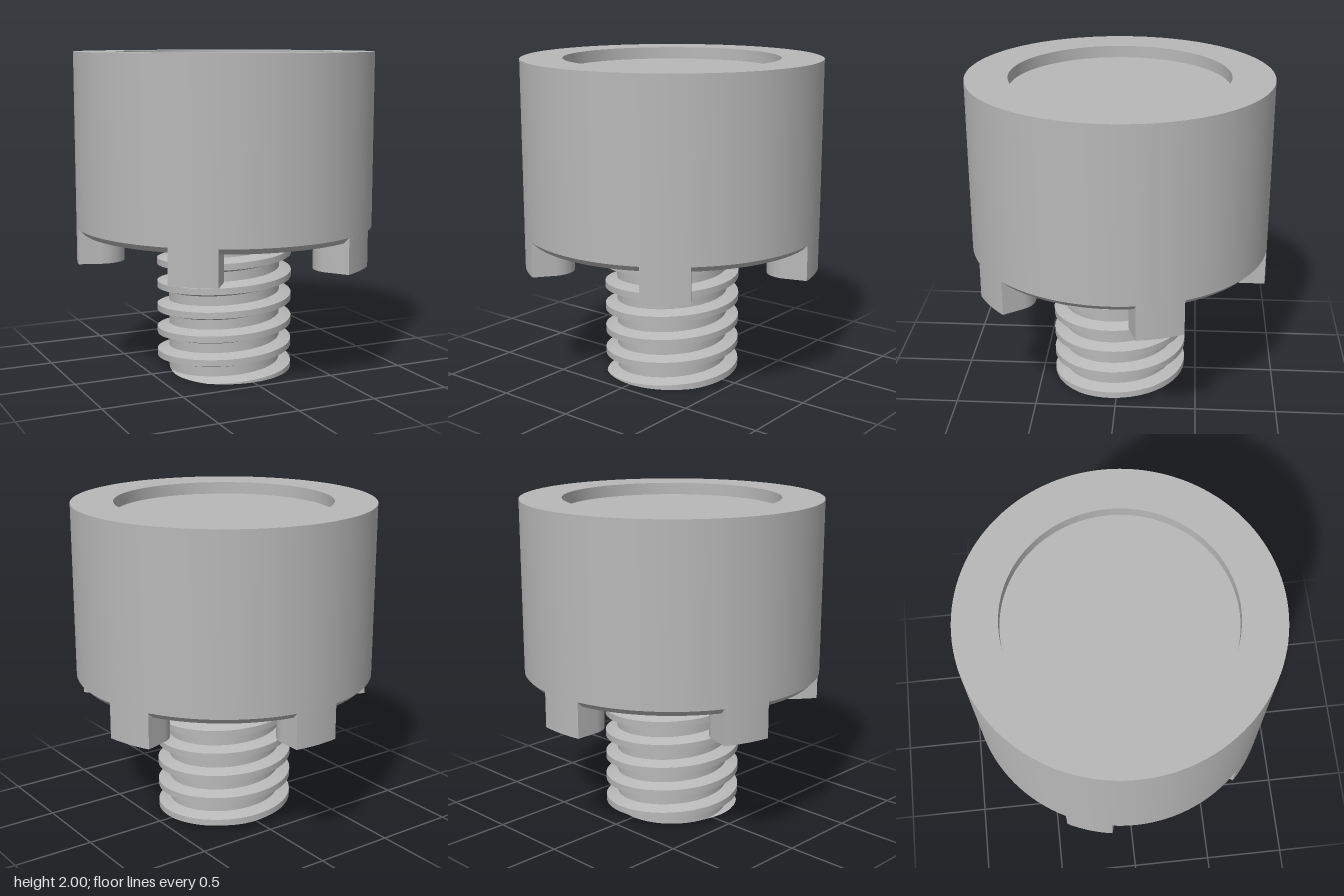
import * as THREE from 'three';
import { toCreasedNormals } from 'three/addons/utils/BufferGeometryUtils.js';

const HEAD_R = 0.925, ROOT_R = 0.35, CREST_R = 0.425;
const PITCH = 0.148, CREST_H = 0.02, ROOT_H = 0.044; // half heights of the thread ridge

// Ridge radius at a height d away from the ridge centre
function ridgeRadius(d) {
  const t = THREE.MathUtils.clamp((ROOT_H - Math.abs(d)) / (ROOT_H - CREST_H), 0, 1);
  return ROOT_R + (CREST_R - ROOT_R) * t;
}

// Helical ridge, cut off flat at y = 0
function threadGeometry() {
  const perTurn = 64, start = -1, turns = 7.4;
  const profile = [
    [ROOT_R, -ROOT_H, true], [ROOT_R, -ROOT_H], [CREST_R, -CREST_H],
    [CREST_R, CREST_H], [ROOT_R, ROOT_H],
  ];
  const n = profile.length, steps = Math.round(turns * perTurn);
  const pos = [], index = [];
  for (let i = 0; i <= steps; i++) {
    const turn = start + i / perTurn, a = turn * Math.PI * 2;
    const yc = -0.004 + turn * PITCH;
    for (const [r0, dy, inner] of profile) {
      const cut = yc + dy < 0;
      const r = cut && !inner ? ridgeRadius(-yc) : r0;
      pos.push(r * Math.sin(a), cut ? 0 : yc + dy, r * Math.cos(a));
    }
    if (i === steps) break;
    for (let j = 0; j < n - 1; j++) {
      const p = i * n + j, q = p + n;
      index.push(p, q, q + 1, p, q + 1, p + 1);
    }
  }
  const geo = new THREE.BufferGeometry();
  geo.setAttribute('position', new THREE.Float32BufferAttribute(pos, 3));
  geo.setIndex(index);
  return toCreasedNormals(geo, 0.4);
}

// Lug: outer arc flush with the head, parallel sides, rounded inner end
function lugGeometry() {
  const w = 0.145, half = Math.asin(w / HEAD_R), top = 0.93, bottom = 0.71;
  const shape = new THREE.Shape();
  shape.absarc(0, 0, HEAD_R, Math.PI / 2 + half, Math.PI / 2 - half, true);
  shape.lineTo(w, 0.775);
  shape.absarc(0, 0.775, w, 0, Math.PI, true);
  const geo = new THREE.ExtrudeGeometry(shape, { depth: top - bottom, bevelEnabled: false, curveSegments: 20 });
  geo.rotateX(Math.PI / 2).translate(0, top, 0);
  return toCreasedNormals(geo, 0.5);
}

export function createModel() {
  const metal = new THREE.MeshStandardMaterial({ color: 0xb8b8b8 });
  metal.name = 'grey metal';
  const model = new THREE.Group();
  model.name = 'screwKnob';
  const add = (name, geo) => {
    const mesh = new THREE.Mesh(geo, metal);
    mesh.name = name;
    model.add(mesh);
    return mesh;
  };

  // Head with a chamfered lower edge and a shallow round recess on top
  const outline = [
    [0, 0.895], [0.89, 0.895], [HEAD_R, 0.93], [HEAD_R, 2],
    [0.667, 2], [0.667, 1.925], [0, 1.925],
  ].map(([r, y]) => new THREE.Vector2(r, y));
  add('head', toCreasedNormals(new THREE.LatheGeometry(outline, 120), 0.5));

  // Five lugs spaced evenly under the rim
  const lug = lugGeometry();
  for (let i = 0; i < 5; i++) {
    add('lug' + (i + 1), lug).rotation.y = Math.PI / 5 + (i * Math.PI * 2) / 5;
  }

  // Threaded shank
  add('shankCore', new THREE.CylinderGeometry(ROOT_R, ROOT_R, 0.91, 64).translate(0, 0.455, 0));
  add('shankThread', threadGeometry()).material = metal;
  return model;
}
